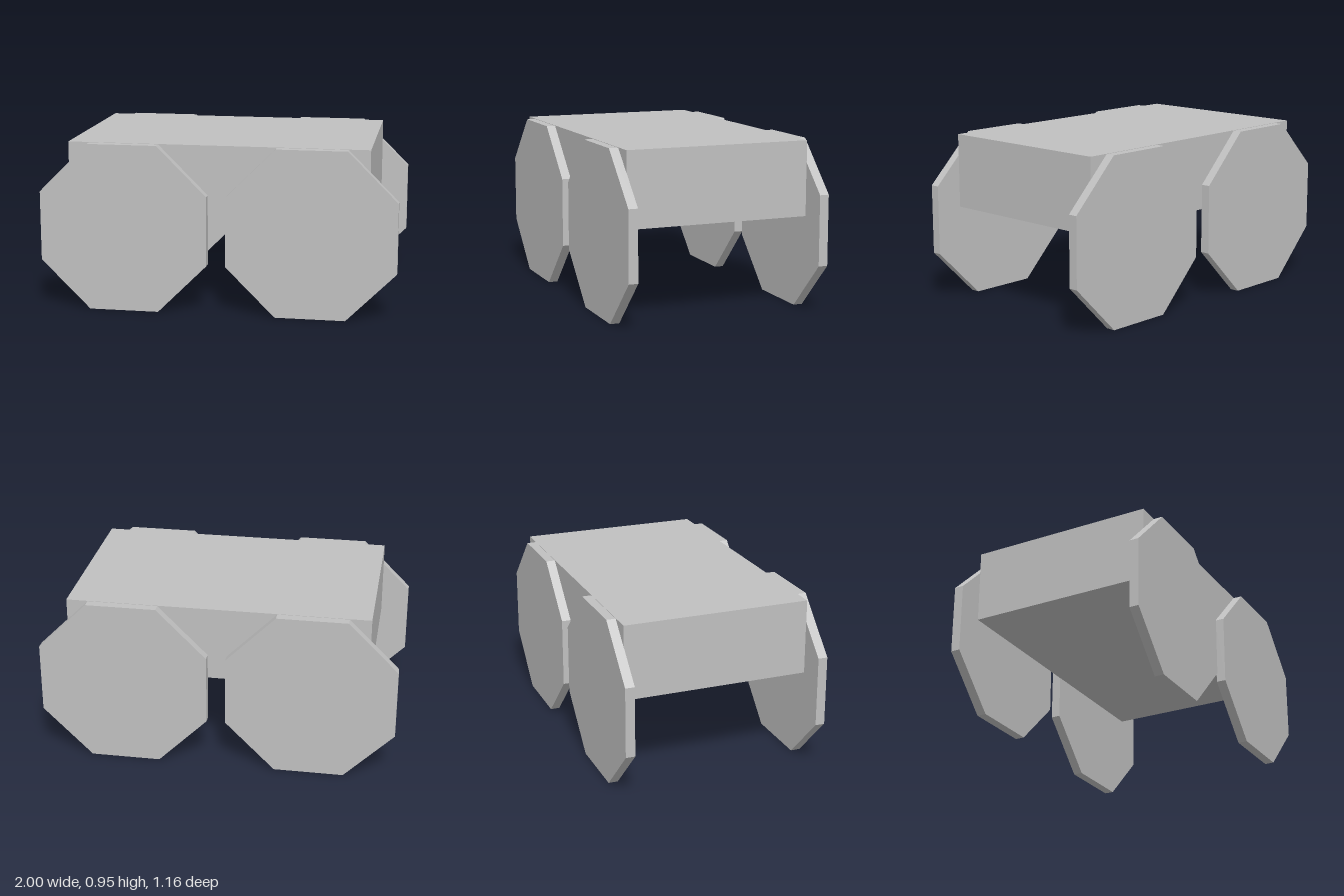
import * as THREE from 'three';

export function createModel() {
  const model = new THREE.Group();
  const grey = new THREE.MeshStandardMaterial({ color: 0xc0c0c0, flatShading: true });
  grey.name = 'light grey';

  // Box body, flush with the tops of the wheels
  const body = new THREE.Mesh(new THREE.BoxGeometry(1.684, 0.42, 1.054), grey);
  body.name = 'body';
  body.position.y = 0.739;
  model.add(body);

  // Thin octagonal wheels standing on a flat side
  const apothem = 0.4735;
  const radius = apothem / Math.cos(Math.PI / 8);
  const wheelGeometry = new THREE.CylinderGeometry(radius, radius, 0.053, 8, 1, false, Math.PI / 8);
  wheelGeometry.rotateX(Math.PI / 2);
  for (const [end, z] of [['front', 1], ['back', -1]]) {
    for (const [side, x] of [['Left', 1], ['Right', -1]]) {
      const wheel = new THREE.Mesh(wheelGeometry, grey);
      wheel.name = `${end}${side}Wheel`;
      wheel.position.set(x * 0.5265, apothem, z * 0.5525);
      model.add(wheel);
    }
  }
  return model;
}
